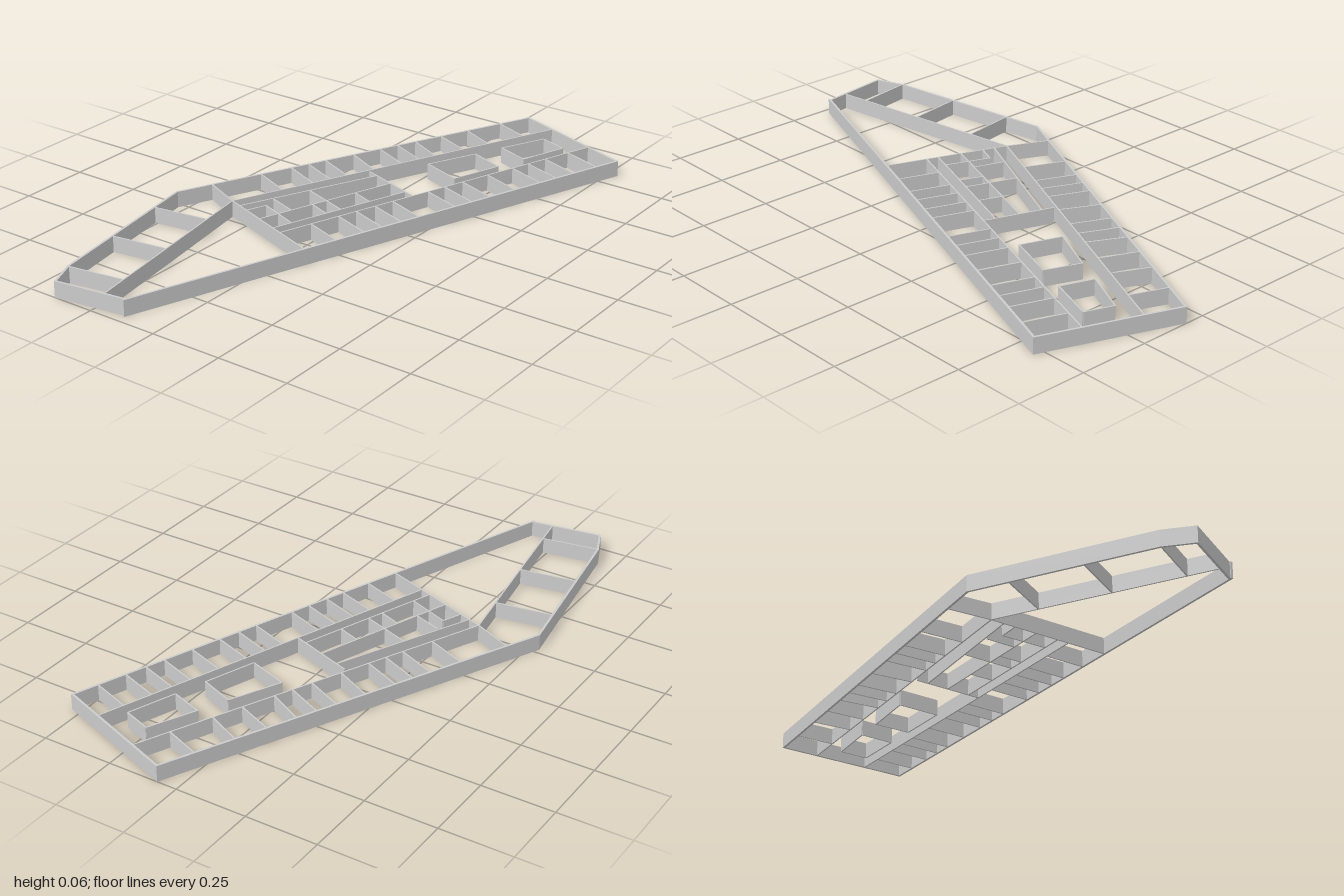
import * as THREE from 'three';

const H = 0.056;          // wall height
const THIN = 0.005;       // partition thickness
const OUTER = 0.008;      // perimeter thickness
const material = new THREE.MeshStandardMaterial({ color: 0xcccccc, flatShading: true });

// Plan corners as [x, z]: back right, back left, front left, front right, chamfer, bend
const outline = [[0.07, -1], [0.535, -0.83], [-0.137, 0.963], [-0.397, 1], [-0.439, 0.897], [-0.537, 0.27]];
const centreline = inset(outline, OUTER / 2);
const outerRight = [centreline[0], centreline[5]];
const outerLeft = [centreline[1], centreline[2]];
const hallRight = [[0.2, -0.949], [-0.336, 0.218]];
const hallLeft = [[0.388, -0.88], [-0.055, 0.318]];

// Point on a plan line at a given z
function atZ([a, b], z) {
  return [a[0] + (b[0] - a[0]) * (z - a[1]) / (b[1] - a[1]), z];
}

// Upright wall between two plan points
function wall(name, a, b, thickness = THIN) {
  const dx = b[0] - a[0], dz = b[1] - a[1];
  const mesh = new THREE.Mesh(new THREE.BoxGeometry(Math.hypot(dx, dz), H, thickness), material);
  mesh.position.set((a[0] + b[0]) / 2, H / 2, (a[1] + b[1]) / 2);
  mesh.rotation.y = -Math.atan2(dz, dx);
  mesh.name = name;
  return mesh;
}

// Mitred inward offset of the outline
function inset(points, d) {
  const n = points.length;
  const normal = (p, q) => {
    const l = Math.hypot(q[0] - p[0], q[1] - p[1]);
    return [-(q[1] - p[1]) / l, (q[0] - p[0]) / l];
  };
  return points.map((p, i) => {
    const u = normal(points[(i + n - 1) % n], p), v = normal(p, points[(i + 1) % n]);
    const k = d / (1 + u[0] * v[0] + u[1] * v[1]);
    return [p[0] + (u[0] + v[0]) * k, p[1] + (u[1] + v[1]) * k];
  });
}

// Ring extruded upward; the hole runs opposite to the outline so its faces look inward
function perimeter() {
  const toPoints = pts => pts.map(([x, z]) => new THREE.Vector2(x, -z));
  const shape = new THREE.Shape(toPoints(outline));
  shape.holes.push(new THREE.Path(toPoints(inset(outline, OUTER)).reverse()));
  const geometry = new THREE.ExtrudeGeometry(shape, { depth: H, bevelEnabled: false });
  geometry.rotateX(-Math.PI / 2);
  const mesh = new THREE.Mesh(geometry, material);
  mesh.name = 'perimeterWall';
  return mesh;
}

export function createModel() {
  const model = new THREE.Group();
  model.name = 'floorPlanWalls';
  const section = (name, walls) => {
    const group = new THREE.Group();
    group.name = name;
    group.add(...walls);
    model.add(group);
  };

  // Outer wall, with the left side running slightly past the front corner
  model.add(perimeter());
  model.add(wall('leftWallEnd', atZ(outerLeft, 0.94), atZ(outerLeft, 0.969), OUTER));

  // Long corridor walls and the cross wall
  section('corridorWalls', [
    wall('rightCorridorWall', ...hallRight),
    wall('leftCorridorWall', ...hallLeft),
    wall('crossWall', [-0.336, 0.218], [0.08, 0.37]),
    wall('wingWall', [-0.336, 0.218], [-0.218, 0.965]),
  ]);

  // Room dividers: z at the outer wall, z at the corridor
  section('rightRooms', [
    [-0.882, -0.832], [-0.757, -0.697], [-0.657, -0.602], [-0.562, -0.497], [-0.497, -0.437], [-0.432, -0.372],
    [-0.337, -0.272], [-0.237, -0.177], [-0.177, -0.117], [-0.117, -0.057], [-0.012, 0.048], [0.153, 0.218],
  ].map(([z0, z1]) => wall('rightDivider', atZ(outerRight, z0), atZ(hallRight, z1))));

  // Left dividers all run parallel: z at the corridor
  section('leftRooms', [
    -0.792, -0.697, -0.627, -0.562, -0.462, -0.362, -0.292, -0.227, -0.092, -0.026, 0.044, 0.109, 0.209,
  ].map(z => wall('leftDivider', atZ(hallLeft, z), atZ(outerLeft, z + 0.05))));

  // Angled wing dividers
  section('wingRooms', [
    [[-0.512, 0.409], [-0.308, 0.379]],
    [[-0.473, 0.655], [-0.27, 0.624]],
    [[-0.434, 0.898], [-0.231, 0.866]],
  ].map(([a, b]) => wall('wingDivider', a, b)));

  // Two free-standing cores in the hall
  [
    [[0.222, -0.852], [0.32, -0.817], [0.26, -0.653], [0.145, -0.693]],
    [[0.1, -0.593], [0.222, -0.546], [0.158, -0.371], [0.016, -0.421]],
  ].forEach(c => section('serviceCore', c.map((p, i) => wall('coreWall', p, c[(i + 1) % 4]))));

  // Central block of small rooms
  section('centralRooms', [
    [[-0.11, -0.249], [0.127, -0.167]],
    [[-0.069, -0.235], [-0.291, 0.234]],
    [[0.005, -0.207], [-0.174, 0.276]],
    [[0.085, -0.179], [-0.095, 0.304]],
    [[-0.042, -0.074], [0.033, -0.046]],
    [[-0.18, -0.001], [-0.005, 0.061]],
    [[-0.105, 0.084], [-0.026, 0.114]],
    [[-0.233, 0.126], [-0.132, 0.162]],
    [[-0.222, 0.181], [-0.073, 0.239]],
    [[-0.222, 0.181], [-0.25, 0.248]],
  ].map(([a, b]) => wall('centralPartition', a, b)));

  return model;
}
